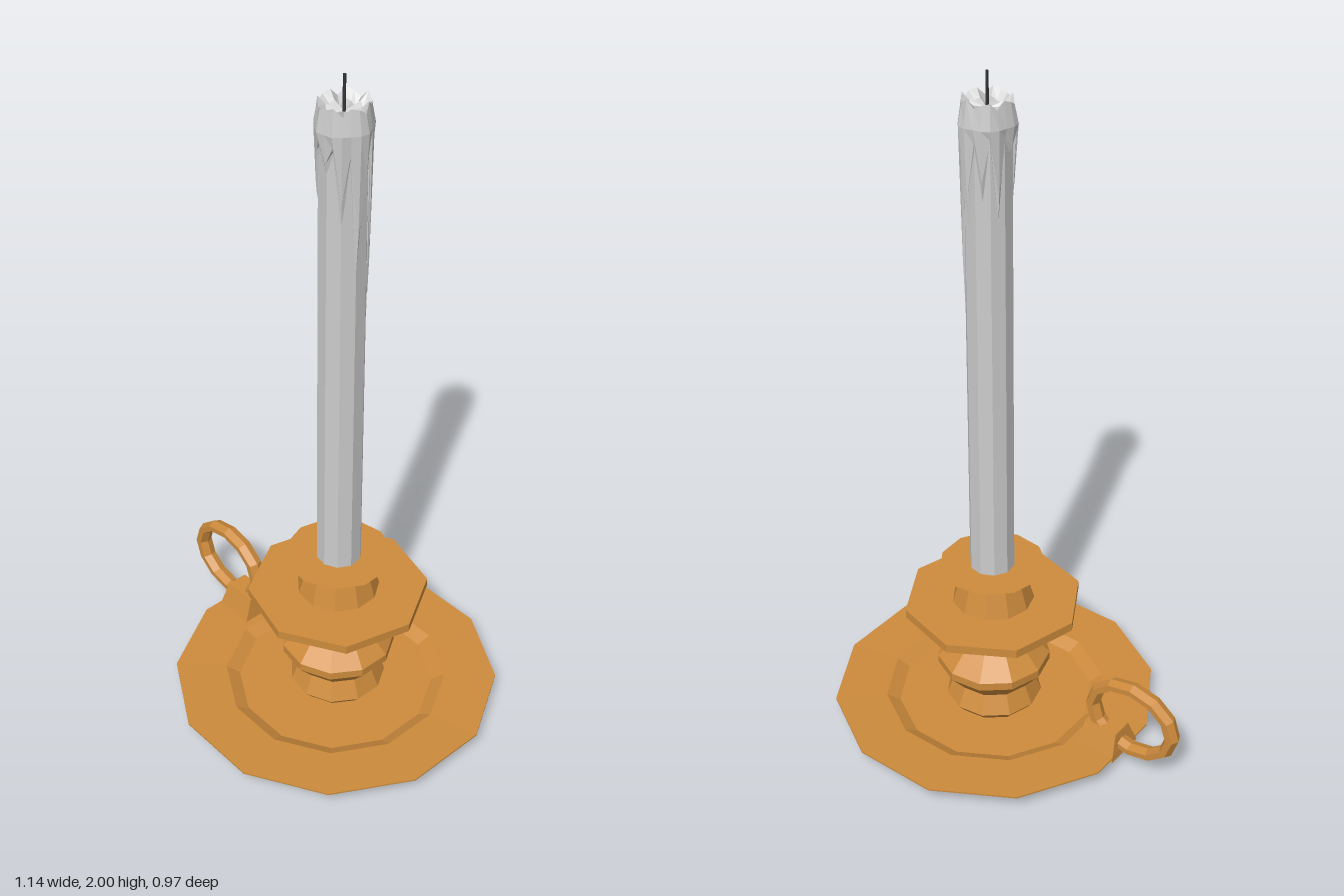
import * as THREE from 'three';

const brass = new THREE.MeshStandardMaterial({ color: 0xcd8b3c, flatShading: true });
const wax = new THREE.MeshStandardMaterial({ color: 0xcccccc, flatShading: true });
const dark = new THREE.MeshStandardMaterial({ color: 0x333333, flatShading: true });

function add(parent, name, geometry, material, x = 0, y = 0, z = 0) {
  const mesh = new THREE.Mesh(geometry, material);
  mesh.name = name;
  mesh.position.set(x, y, z);
  parent.add(mesh);
  return mesh;
}

// Faceted turned shape from [radius, height] pairs, listed from the bottom up
function turned(profile, sides, phase = 0) {
  return new THREE.LatheGeometry(profile.map(([r, y]) => new THREE.Vector2(r, y)), sides, phase);
}

// Melted wax cap: each column ends at its own height, so long ones become drips
function waxCap() {
  const ends = [1.76, 1.83, 1.61, 1.8, 1.48, 1.7, 1.81, 1.35, 1.79, 1.6,
    1.82, 1.68, 1.84, 1.62, 1.84, 1.8, 1.84, 1.66, 1.79, 1.84];
  const rows = 6;
  const geo = turned([[0.063, 0], [0.07, 0], [0.076, 0], [0.066, 0], [0.046, 0], [0, 1.905]], ends.length);
  const p = geo.attributes.position;
  for (let i = 0; i <= ends.length; i++) {
    const col = i % ends.length;
    const rim = 1.93 + 0.012 * Math.sin(col * 2.3);
    const bulge = 1 + 0.05 * Math.sin(col * 1.7);
    const heights = [ends[col], ends[col] * 0.7 + 1.86 * 0.3, 1.87, rim, rim - 0.02];
    heights.forEach((y, j) => {
      const k = i * rows + j;
      const s = j === 0 ? 1 : bulge;
      p.setXYZ(k, p.getX(k) * s, y, p.getZ(k) * s);
    });
  }
  geo.computeVertexNormals();
  return geo;
}

export function createModel() {
  const model = new THREE.Group();
  model.name = 'candlestick';

  // Dish and finger ring, turned slightly together
  const base = new THREE.Group();
  base.name = 'base';
  base.position.x = 0.083;
  base.rotation.y = -0.13;
  model.add(base);
  add(base, 'dish', turned([[0, 0], [0.335, 0], [0.49, 0.05], [0.49, 0.055],
    [0.335, 0.05], [0.295, 0.028], [0, 0.028]], 12, Math.PI / 12), brass);

  // Tapered lug that joins the ring to the dish
  const lug = new THREE.BoxGeometry(0.13, 0.08, 0.13);
  const p = lug.attributes.position;
  for (let i = 0; i < p.count; i++) {
    if (p.getY(i) > 0) p.setXYZ(i, p.getX(i) * 0.82, p.getY(i), p.getZ(i) * 0.5);
  }
  lug.computeVertexNormals();
  add(base, 'ringLug', lug, brass, -0.41, 0.08, 0.005);

  const ring = add(base, 'fingerRing', new THREE.TorusGeometry(0.136, 0.021, 6, 12), brass, -0.5, 0.181, 0);
  ring.scale.set(1, 0.81, 1.25);

  // Turned stem, drip tray and socket
  const stem = new THREE.Group();
  stem.name = 'stem';
  stem.position.set(0.083, 0, -0.008);
  model.add(stem);
  add(stem, 'stemColumn', turned([[0.12, 0.025], [0.145, 0.055], [0.12, 0.115], [0.17, 0.175], [0.17, 0.2],
    [0.09, 0.285], [0.09, 0.315], [0.155, 0.376]], 11), brass);
  add(stem, 'dripTray', new THREE.CylinderGeometry(0.265, 0.265, 0.027, 8), brass, 0, 0.388, 0);
  add(stem, 'socket', turned([[0.122, 0.4], [0.098, 0.485], [0.158, 0.522], [0, 0.522]], 11, 0.05), brass);

  // Candle
  const candle = new THREE.Group();
  candle.name = 'candle';
  candle.position.set(0.085, 0, -0.008);
  model.add(candle);
  add(candle, 'candleShaft', new THREE.CylinderGeometry(0.064, 0.066, 1.38, 10), wax, 0, 1.2, 0);
  add(candle, 'meltedWax', waxCap(), wax);
  add(candle, 'wick', new THREE.CylinderGeometry(0.004, 0.005, 0.1, 5), dark, 0, 1.95, 0);

  return model;
}
